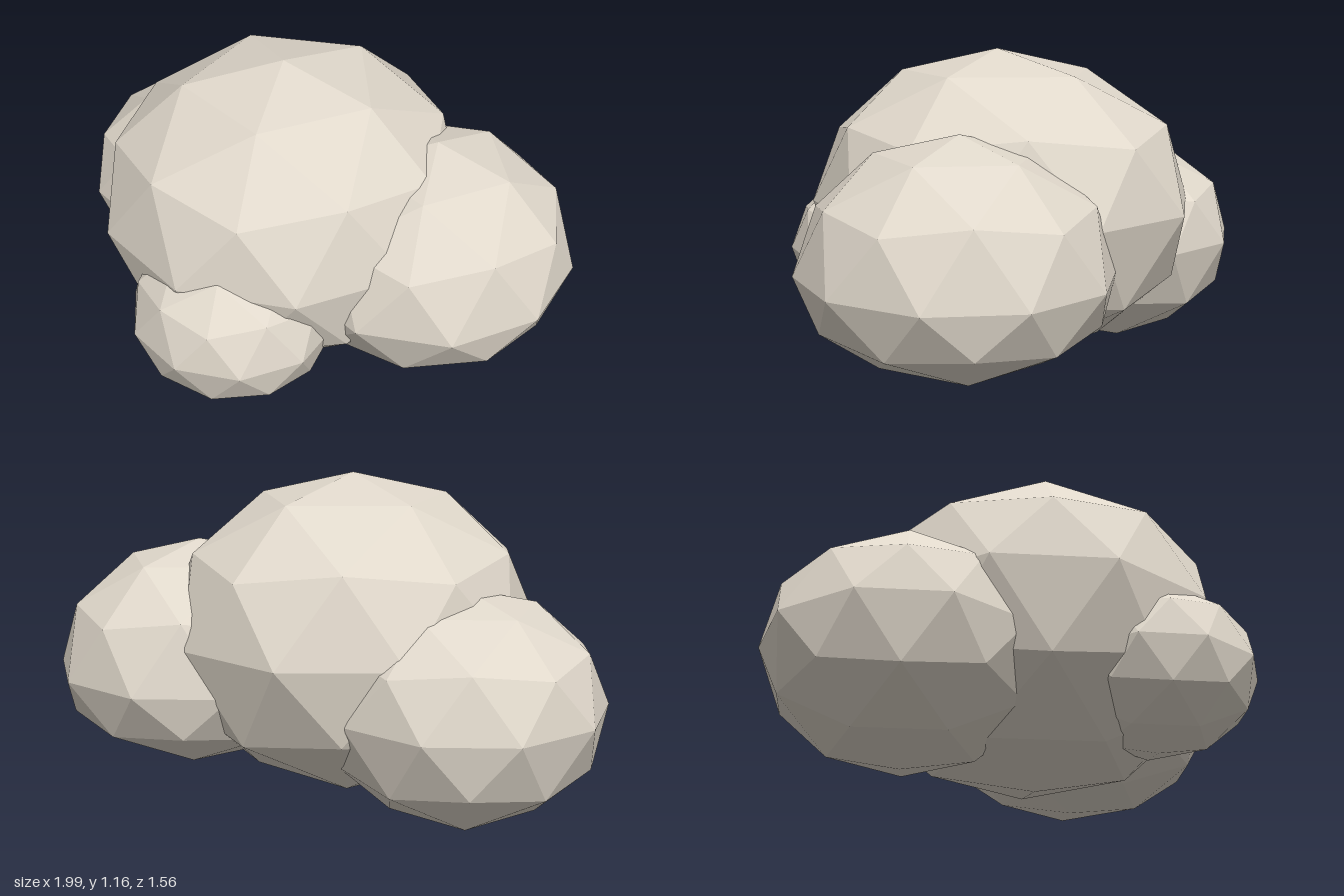
import * as THREE from 'three';

// Faceted ball with a vertex at its top; each axis has a positive and a negative radius
function makeBoulder(name, material, center, rx, ry, rz) {
  const geometry = new THREE.IcosahedronGeometry(1, 1);
  geometry.rotateZ(-Math.atan(2 / (1 + Math.sqrt(5))));
  const p = geometry.attributes.position;
  const stretch = (v, [plus, minus]) => v * (v > 0 ? plus : minus);
  for (let i = 0; i < p.count; i++) {
    p.setXYZ(i, stretch(p.getX(i), rx), stretch(p.getY(i), ry), stretch(p.getZ(i), rz));
  }
  geometry.computeVertexNormals(); // unshared corners, so facets stay flat
  const mesh = new THREE.Mesh(geometry, material);
  mesh.name = name;
  mesh.position.set(...center);
  return mesh;
}

export function createModel() {
  const group = new THREE.Group();
  group.name = 'boulderCluster';
  const stone = new THREE.MeshStandardMaterial({ color: 0xe0d8cb });
  stone.name = 'paleStone';

  group.add(
    // Large central boulder
    makeBoulder('mainBoulder', stone, [-0.05, 0.61, -0.04], [0.67, 0.675], [0.555, 0.59], [0.69, 0.74]),
    // Side boulders, set towards the back
    makeBoulder('leftBoulder', stone, [0.49, 0.455, -0.2], [0.53, 0.536], [0.465, 0.345], [0.565, 0.53]),
    makeBoulder('rightBoulder', stone, [-0.53, 0.42, -0.27], [0.495, 0.495], [0.395, 0.42], [0.5, 0.5]),
    // Small boulder at the front
    makeBoulder('frontBoulder', stone, [0.025, 0.39, 0.41], [0.37, 0.38], [0.315, 0.285], [0.37, 0.37])
  );
  return group;
}
